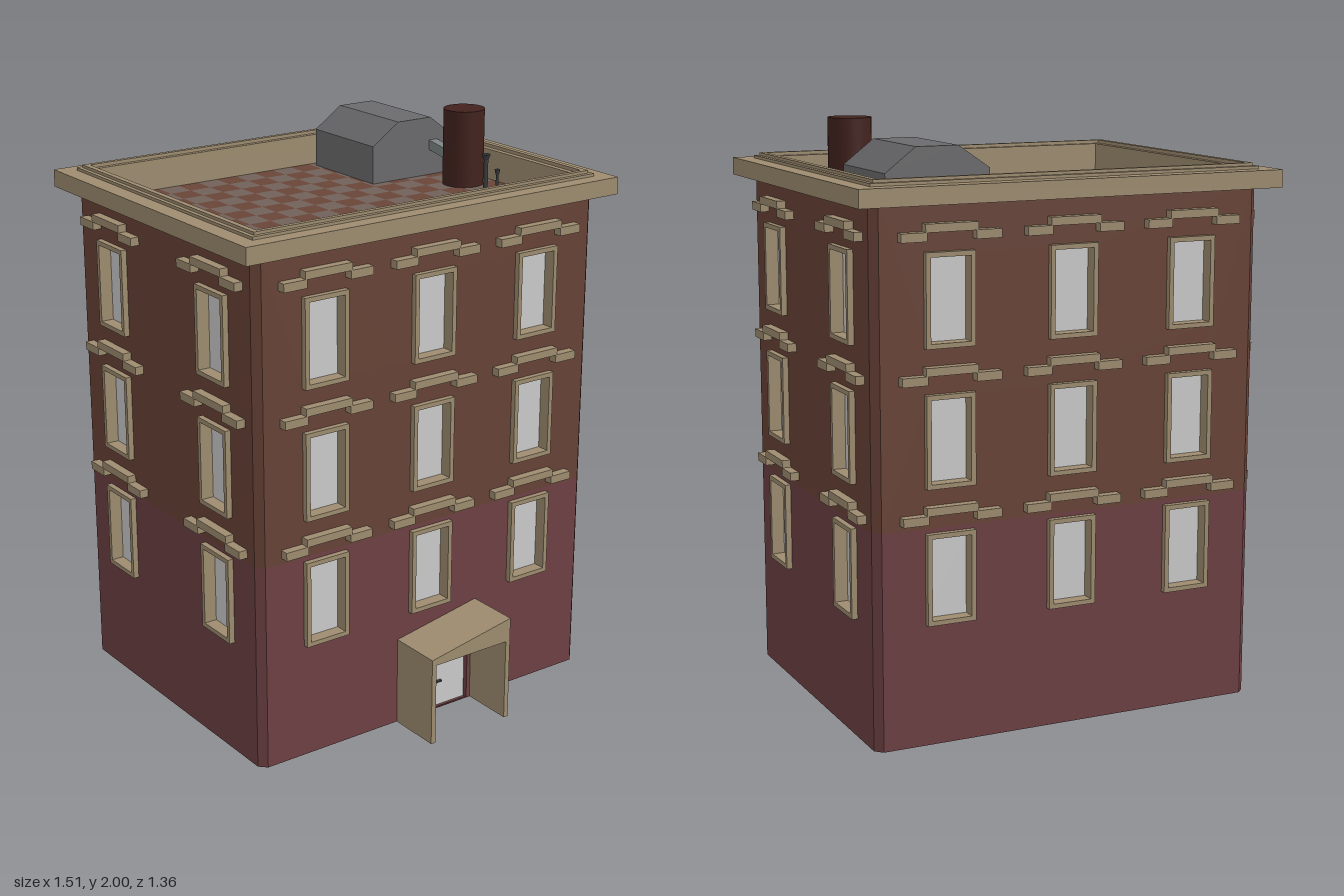
import * as THREE from 'three';
import { mergeGeometries } from 'three/addons/utils/BufferGeometryUtils.js';

const mat = (color) => new THREE.MeshStandardMaterial({ color, flatShading: true, side: THREE.DoubleSide });
const M = {
  lower: mat(0x6d4043), upper: mat(0x684337), trim: mat(0x9e8c70), glass: mat(0xcccccc),
  shed: mat(0x6b6b6d), metal: mat(0x3a3d40), duct: mat(0x7d8486),
  tileA: mat(0x694538), tileB: mat(0x70605a),
};
const HX = 0.695, HZ = 0.555, CZ = -0.07, BEVEL = 0.025, SPLIT = 0.73, TOP = 1.78, ROOF = 1.73;
const WIN = { w: 0.17, h: 0.305, lip: 0.016, rows: [0.41, 0.862, 1.315] };

function add(parent, name, geo, material, x = 0, y = 0, z = 0) {
  const mesh = new THREE.Mesh(geo, material);
  mesh.name = name;
  mesh.position.set(x, y, z);
  parent.add(mesh);
  return mesh;
}
const box = (w, h, d) => new THREE.BoxGeometry(w, h, d);

function rect(x0, y0, x1, y1, Type = THREE.Shape) {
  const p = [[x0, y0], [x1, y0], [x1, y1], [x0, y1]];
  return new Type(p.map(([x, y]) => new THREE.Vector2(x, y)));
}
const extrude = (shape, depth) => new THREE.ExtrudeGeometry(shape, { depth, bevelEnabled: false });

// Window: deep frame, recessed pane and a stepped lintel; origin at bottom centre
function makeWindow() {
  const g = new THREE.Group();
  g.name = 'window';
  const { w, h, lip } = WIN;
  const frame = rect(-w / 2, 0, w / 2, h);
  frame.holes.push(rect(-w / 2 + lip, lip, w / 2 - lip, h - lip, THREE.Path));
  add(g, 'windowFrame', extrude(frame, 0.05), M.trim, 0, 0, -0.03);
  add(g, 'windowPane', new THREE.PlaneGeometry(w - lip, h - lip), M.glass, 0, h / 2, -0.025);
  add(g, 'lintelCentre', box(w + 0.01, 0.027, 0.038), M.trim, 0, h + 0.077, 0.012);
  for (const s of [-1, 1]) add(g, 'lintelEnd', box(0.088, 0.029, 0.038), M.trim, s * 0.128, h + 0.05, 0.012);
  return g;
}

// One facade facing local +z, with openings cut for its windows and door
function makeWall(name, halfWidth, distance, angle, columns, door) {
  const g = new THREE.Group();
  g.name = name;
  const hw = halfWidth - BEVEL;
  const lower = rect(-hw, 0, hw, SPLIT), upper = rect(-hw, SPLIT, hw, TOP);
  const o = WIN.w / 2 - WIN.lip / 2, m = WIN.lip / 2;
  for (const x of columns) WIN.rows.forEach((y, i) => {
    (i ? upper : lower).holes.push(rect(x - o, y + m, x + o, y + WIN.h - m, THREE.Path));
    const win = makeWindow();
    win.position.set(x, y, 0);
    g.add(win);
  });
  if (door) lower.holes.push(rect(-0.085, 0.003, 0.175, 0.26, THREE.Path));
  add(g, 'lowerWall', new THREE.ShapeGeometry(lower), M.lower);
  add(g, 'upperWall', new THREE.ShapeGeometry(upper), M.upper);
  // Bevelled corner strip at the right-hand end
  for (const [y0, y1, m2] of [[0, SPLIT, M.lower], [SPLIT, TOP, M.upper]]) {
    const strip = add(g, 'cornerBevel', new THREE.PlaneGeometry(BEVEL * Math.SQRT2, y1 - y0), m2,
      hw + BEVEL / 2, (y0 + y1) / 2, -BEVEL / 2);
    strip.rotation.y = Math.PI / 4;
  }
  g.rotation.y = angle;
  g.position.set(Math.sin(angle) * distance, 0, Math.cos(angle) * distance);
  return g;
}

// Rectangular ring lying flat between two heights
function ring(hx, hz, ix, iz, y0, y1) {
  const s = rect(-hx, -hz, hx, hz);
  s.holes.push(rect(-ix, -iz, ix, iz, THREE.Path));
  return extrude(s, y1 - y0).rotateX(-Math.PI / 2).translate(0, y0, 0);
}

function makeRoof() {
  const g = new THREE.Group();
  g.name = 'roof';
  add(g, 'cornice', ring(0.755, 0.6075, 0.64, 0.503, 1.77, 1.83), M.trim);
  add(g, 'parapetLining', ring(0.66, 0.52, 0.64, 0.503, ROOF - 0.01, 1.838), M.trim);
  add(g, 'parapetStep', ring(0.695, 0.552, 0.66, 0.52, 1.82, 1.84), M.trim);
  add(g, 'parapetCap', ring(0.68, 0.537, 0.66, 0.52, 1.83, 1.85), M.trim);
  // Chequered deck
  const cols = 16, rows = 12, cw = 1.28 / cols, cd = 1.006 / rows, tiles = [[], []];
  for (let i = 0; i < cols; i++) for (let j = 0; j < rows; j++) {
    tiles[(i + j) % 2].push(new THREE.PlaneGeometry(cw, cd).rotateX(-Math.PI / 2)
      .translate(-0.64 + (i + 0.5) * cw, ROOF, -0.503 + (j + 0.5) * cd));
  }
  add(g, 'darkTiles', mergeGeometries(tiles[0]), M.tileA);
  add(g, 'lightTiles', mergeGeometries(tiles[1]), M.tileB);
  g.position.z = CZ - 0.0025;
  return g;
}

function makeRoofFittings() {
  const g = new THREE.Group();
  g.name = 'roofFittings';
  // Shed with a three-sided roof
  const profile = [[0.255, ROOF], [0.615, ROOF], [0.615, 1.86], [0.51, 1.94], [0.365, 1.94], [0.255, 1.865]];
  const shed = new THREE.Shape(profile.map(([x, y]) => new THREE.Vector2(x, y)));
  add(g, 'roofShed', extrude(shed, 0.355), M.shed, 0, 0, -0.547);
  // Chimney with a duct to the shed
  const chimney = new THREE.MeshStandardMaterial({ color: 0x42221d });
  add(g, 'chimney', new THREE.CylinderGeometry(0.073, 0.073, 2 - ROOF, 32), chimney, 0.527, 1 + ROOF / 2, -0.022);
  const duct = add(g, 'duct', box(0.035, 0.035, 0.14), M.duct, 0.518, 1.835, -0.15);
  duct.rotation.set(0.1, -0.12, 0);
  // Small vent pipes
  for (const [z, r, top] of [[0.117, 0.016, 1.862], [0.18, 0.01, 1.82]]) {
    const h = top - ROOF;
    add(g, 'ventPipe', new THREE.CylinderGeometry(r * 0.5, r * 0.5, h, 12), M.metal, 0.517, ROOF + h / 2, z);
    add(g, 'ventCap', new THREE.CylinderGeometry(r, r * 0.6, 0.018, 12), M.metal, 0.517, top - 0.009, z);
  }
  return g;
}

function makeEntrance() {
  const g = new THREE.Group();
  g.name = 'entrance';
  const z = CZ + HZ, depth = 0.68 - z;
  // Porch side walls and wedge roof
  for (const x of [-0.122, 0.2]) add(g, 'porchWall', box(0.018, 0.3, depth), M.trim, x, 0.15, z + depth / 2);
  const wedge = [[-0.131, 0.295], [0.209, 0.295], [0.209, 0.38], [-0.131, 0.318]];
  add(g, 'porchRoof', extrude(new THREE.Shape(wedge.map(([x, y]) => new THREE.Vector2(x, y))), depth), M.trim, 0, 0, z);
  // Door surround, lintel, panel and handle
  const surround = rect(-0.105, 0, 0.19, 0.285);
  surround.holes.push(rect(-0.085, 0.001, 0.175, 0.26, THREE.Path));
  add(g, 'doorSurround', extrude(surround, 0.03), M.lower, 0, 0, z - 0.025);
  add(g, 'doorLintel', box(0.26, 0.024, 0.02), M.shed, 0.045, 0.25, z - 0.012);
  add(g, 'door', box(0.26, 0.24, 0.01), M.glass, 0.045, 0.12, z - 0.018);
  add(g, 'doorHandle', box(0.06, 0.006, 0.012), M.metal, 0.04, 0.096, z - 0.009);
  return g;
}

export function createModel() {
  const model = new THREE.Group();
  model.name = 'apartmentBuilding';
  const body = new THREE.Group();
  body.name = 'body';
  body.position.z = CZ;
  const wide = [-0.435, 0, 0.435], narrow = [-0.316, 0.316];
  body.add(
    makeWall('frontWall', HX, HZ, 0, wide, true),
    makeWall('leftWall', HZ, HX, Math.PI / 2, narrow, false),
    makeWall('backWall', HX, HZ, Math.PI, wide, false),
    makeWall('rightWall', HZ, HX, -Math.PI / 2, narrow, false),
  );
  // Underside, cut to the bevelled corners
  const a = HX - BEVEL, b = HZ - BEVEL;
  const plan = [[-a, -HZ], [a, -HZ], [HX, -b], [HX, b], [a, HZ], [-a, HZ], [-HX, b], [-HX, -b]];
  const base = new THREE.Shape(plan.map(([x, y]) => new THREE.Vector2(x, y)));
  add(body, 'base', new THREE.ShapeGeometry(base).rotateX(Math.PI / 2), M.lower);
  model.add(body, makeRoof(), makeRoofFittings(), makeEntrance());
  return model;
}
